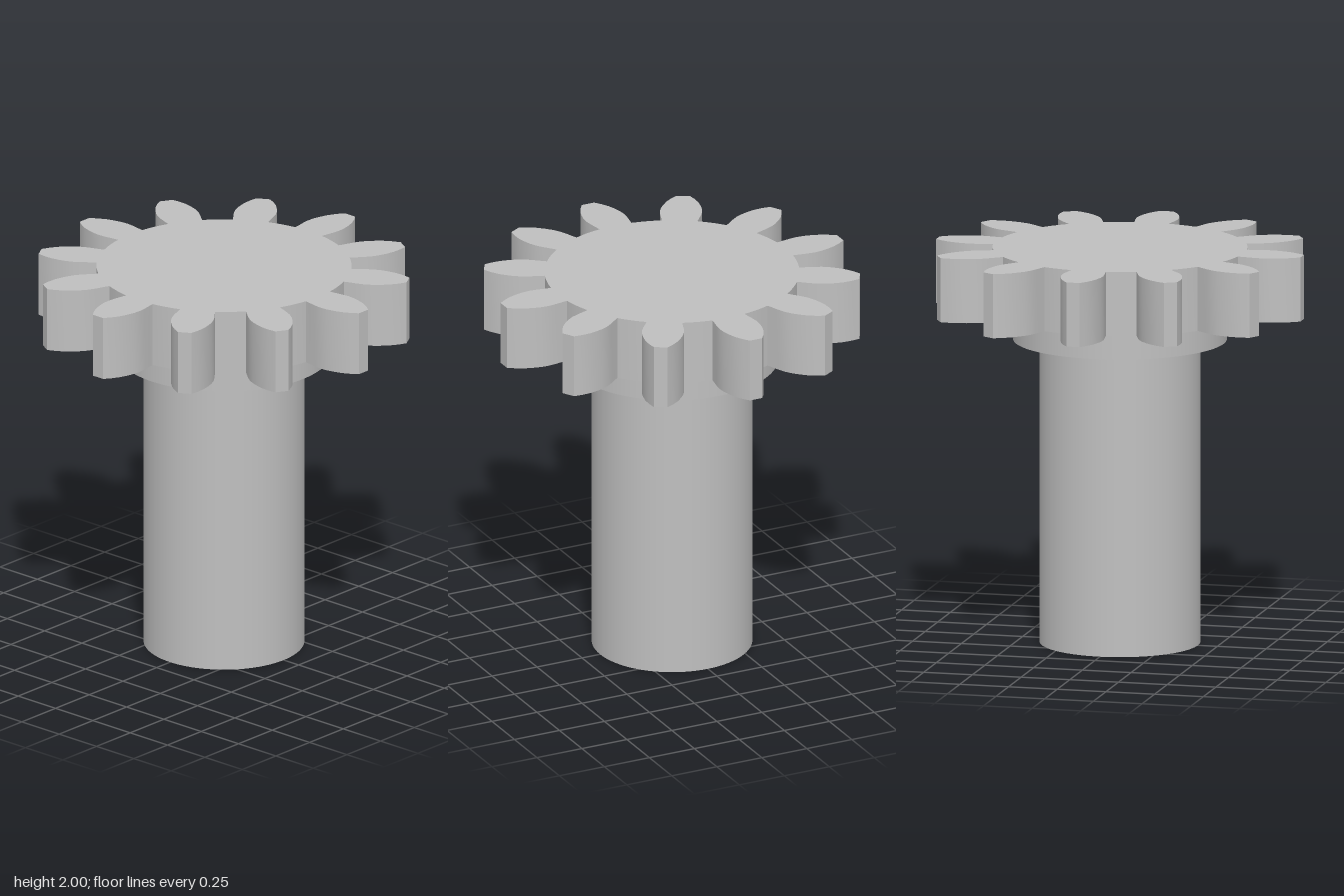
import * as THREE from 'three';
import { toCreasedNormals } from 'three/addons/utils/BufferGeometryUtils.js';

const TEETH = 12;
const ROOT_RADIUS = 0.634;

// Half of one tooth from root to tip: [distance from axis, half width]
const FLANK = [
  [0.628, 0.089], [0.66, 0.094], [0.7, 0.101], [0.74, 0.105], [0.78, 0.102],
  [0.82, 0.093], [0.86, 0.08], [0.9, 0.059], [0.935, 0.034],
];

// Outline of the whole gear, going round tooth by tooth
function gearShape() {
  const points = [];
  const step = (Math.PI * 2) / TEETH;
  const rootAngle = Math.atan2(FLANK[0][1], FLANK[0][0]);
  const toothSides = [
    ...FLANK.map(([r, w]) => [r, -w]),
    ...[...FLANK].reverse(),
  ];
  for (let i = 0; i < TEETH; i++) {
    const angle = i * step;
    for (const [r, w] of toothSides) {
      points.push(new THREE.Vector2(r, w).rotateAround(new THREE.Vector2(), angle));
    }
    // Curved valley to the next tooth
    for (let k = 1; k < 5; k++) {
      const a = angle + rootAngle + ((step - 2 * rootAngle) * k) / 5;
      points.push(new THREE.Vector2(Math.cos(a), Math.sin(a)).multiplyScalar(ROOT_RADIUS));
    }
  }
  return new THREE.Shape(points);
}

export function createModel() {
  const group = new THREE.Group();
  group.name = 'pinionGear';
  const steel = new THREE.MeshStandardMaterial({ color: 0xbfbfbf });
  steel.name = 'grey steel';

  const add = (name, geometry, y) => {
    const mesh = new THREE.Mesh(geometry, steel);
    mesh.name = name;
    mesh.position.y = y;
    group.add(mesh);
  };

  // Plain round shaft and the collar above it
  add('shaft', new THREE.CylinderGeometry(0.4, 0.4, 1.535, 96), 0.7675);
  add('collar', new THREE.CylinderGeometry(0.532, 0.532, 0.14, 96), 1.605);

  // Toothed wheel, smooth along the flanks and sharp at the corners
  const gear = new THREE.ExtrudeGeometry(gearShape(), { depth: 0.325, bevelEnabled: false });
  gear.rotateX(-Math.PI / 2);
  add('toothedWheel', toCreasedNormals(gear, 0.4), 1.675);

  return group;
}
